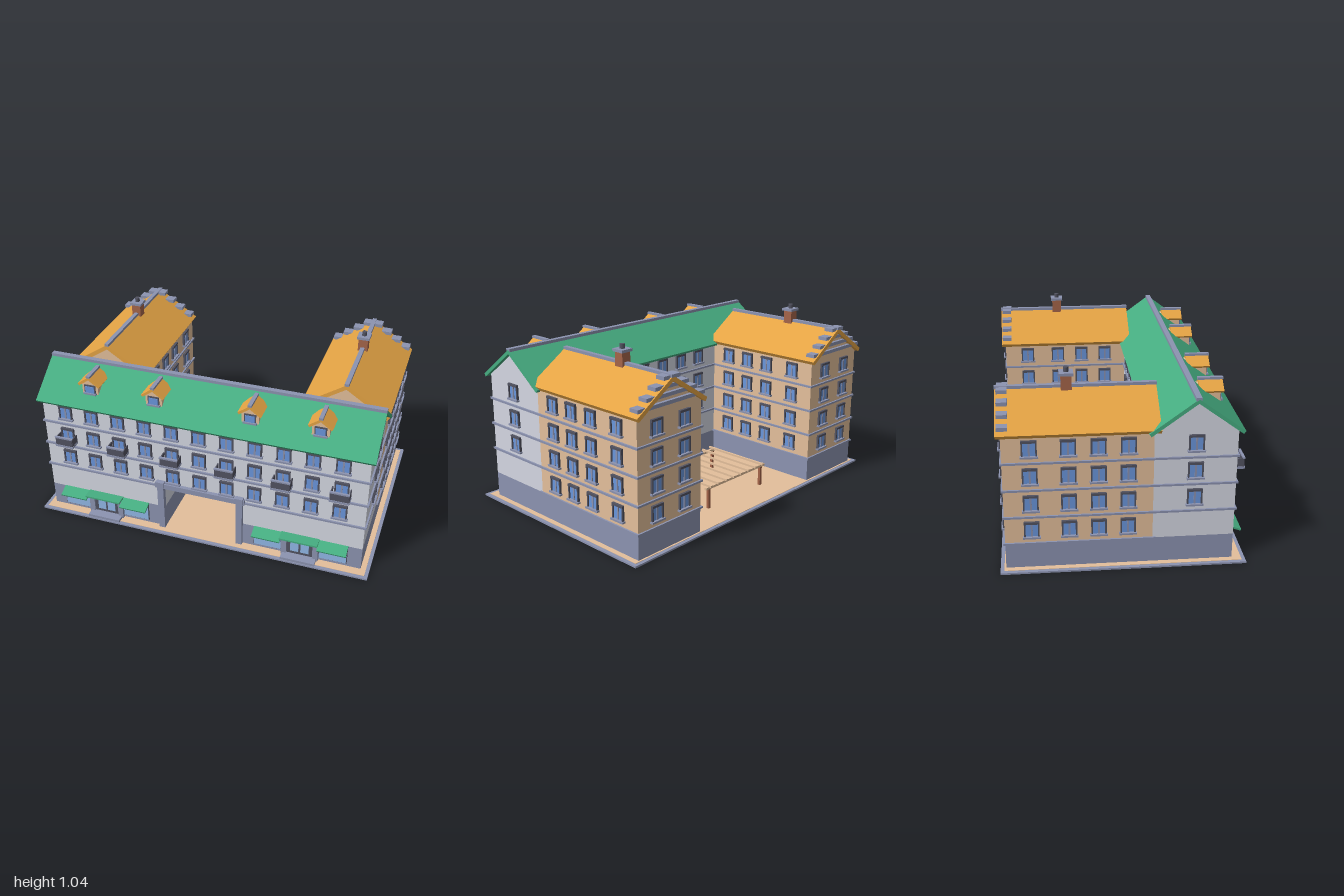
import * as THREE from 'three';
import { mergeGeometries } from 'three/addons/utils/BufferGeometryUtils.js';

const mat = (name, color) => new THREE.MeshStandardMaterial({ name, color });

export function createModel() {
  const M = {
    slate: mat('slate', 0x8c93b0), tan: mat('tanRender', 0xe3bf9b), grey: mat('lightGrey', 0xd4d7e2),
    green: mat('greenRoof', 0x46ad81), orange: mat('orangeRoof', 0xe4a344), brown: mat('brick', 0xa5654a),
    dark: mat('darkMetal', 0x525361), glass: mat('blueGlass', 0x6a96dc), shopGlass: mat('paleGlass', 0x92b8e8),
  };
  const root = new THREE.Group();
  root.name = 'courtyardBuilding';

  const add = (parent, name, geo, material) => {
    const m = new THREE.Mesh(geo, material);
    m.name = name;
    parent.add(m);
    return m;
  };
  // Box given by its extents on each axis
  const boxGeo = (x0, x1, y0, y1, z0, z1) =>
    new THREE.BoxGeometry(x1 - x0, y1 - y0, z1 - z0).translate((x0 + x1) / 2, (y0 + y1) / 2, (z0 + z1) / 2);
  const box = (p, name, material, ...e) => add(p, name, boxGeo(...e), material);
  const group = (name, parent = root) => {
    const g = new THREE.Group();
    g.name = name;
    parent.add(g);
    return g;
  };
  // Extruded outline, z from z0 to z1
  const extrude = (pts, z0, z1) =>
    new THREE.ExtrudeGeometry(new THREE.Shape(pts.map((p) => new THREE.Vector2(...p))),
      { depth: z1 - z0, bevelEnabled: false }).translate(0, 0, z0);
  // Walls with a gable top
  const gableWall = (h, y0, eave, apex, z0, z1) =>
    extrude([[-h, y0], [h, y0], [h, eave], [0, apex], [-h, eave]], z0, z1);
  // Two sloping roof slabs, eaves cut square to the slope
  const gableRoof = (h, top, slope, t, z0, z1) => {
    const e = top - slope * h, c = t / (1 + slope * slope), hi = h - c * slope;
    return extrude([[0, top], [-h, e], [-hi, e - c], [0, top - t], [hi, e - c], [h, e]], z0, z1);
  };

  // Window facing +z, origin at its centre on the wall
  const windowParts = [
    [M.dark, [[-0.04, -0.032, -0.043, 0.044, 0, 0.012], [0.032, 0.04, -0.043, 0.044, 0, 0.012],
      [-0.04, 0.04, 0.034, 0.047, 0, 0.014]]],
    [M.glass, [[-0.032, 0.032, -0.04, 0.034, 0, 0.005]]],
    [M.slate, [[-0.005, 0.005, -0.04, 0.034, 0, 0.009], [-0.046, 0.046, -0.048, -0.038, 0, 0.02]]],
  ];
  const windowGeo = mergeGeometries(
    windowParts.map(([, list]) => mergeGeometries(list.map((e) => boxGeo(...e)))), true);
  const windowMats = windowParts.map(([m]) => m);
  const windows = group('windows');
  const addWindow = (x, y, z, ry = 0) => {
    const w = add(windows, 'window', windowGeo, windowMats);
    w.position.set(x, y, z);
    w.rotation.y = ry;
  };
  const rows = [0.236, 0.389, 0.542, 0.695];
  const bands = [0.304, 0.458, 0.61];

  // Ground slab
  const ground = group('ground');
  box(ground, 'slab', M.slate, -1, 1, 0, 0.01, -0.65, 0.65);
  box(ground, 'paving', M.tan, -0.98, 0.98, 0.008, 0.012, -0.63, 0.63);

  // Front block, with a passage through the middle
  const front = group('frontBlock');
  const fz = 0.365;
  for (const s of [-1, 1]) {
    const [a, b] = s < 0 ? [-0.95, -0.22] : [0.22, 0.95];
    box(front, 'plinth', M.slate, a, b, 0.01, 0.155, 0.15, 0.58);
    box(front, 'groundFloor', M.grey, a, b, 0.155, 0.31, 0.15, 0.58);
  }
  const ridgeAlongX = (geo) => geo.rotateY(Math.PI / 2).translate(0, 0, fz);
  add(front, 'upperWalls', ridgeAlongX(gableWall(0.215, 0.31, 0.76, 0.918, -0.95, 0.95)), M.grey);
  add(front, 'frontRoof', ridgeAlongX(gableRoof(0.245, 0.94, 0.735, 0.024, -0.975, 0.975)), M.green);
  box(front, 'frontRidge', M.slate, -0.975, 0.975, 0.93, 0.947, fz - 0.015, fz + 0.015);
  for (const y of bands) box(front, 'stringCourse', M.slate, -0.96, 0.96, y, y + 0.011, 0.14, 0.59);

  // Passage surround
  const portal = group('passageSurround');
  for (const s of [-1, 1]) {
    const x = s * 0.238;
    box(portal, 'pillar', M.slate, x - 0.019, x + 0.019, 0.01, 0.31, 0.57, 0.6);
    box(portal, 'bracket', M.slate, x - 0.025, x + 0.025, 0.31, 0.346, 0.57, 0.608);
  }
  box(portal, 'lintel', M.slate, -0.27, 0.27, 0.304, 0.336, 0.57, 0.602);

  // Front windows, balconies and courtyard windows
  const balconies = group('balconies');
  for (let i = -5; i <= 5; i++) {
    const x = i * 0.1615;
    for (const y of rows.slice(1)) {
      addWindow(x, y, 0.58);
      if (Math.abs(i) < 3) addWindow(x, y, 0.15, Math.PI);
    }
    if (i % 2 === 0) continue;
    const b = group('balcony', balconies);
    b.position.set(x, 0, 0);
    box(b, 'balconySlab', M.slate, -0.055, 0.055, 0.492, 0.504, 0.58, 0.645);
    box(b, 'balconyFront', M.dark, -0.05, 0.05, 0.504, 0.548, 0.636, 0.642);
    box(b, 'handrail', M.slate, -0.054, 0.054, 0.548, 0.557, 0.632, 0.645);
    for (const s of [-1, 1]) {
      box(b, 'balconySide', M.dark, s * 0.05 - 0.003, s * 0.05 + 0.003, 0.504, 0.55, 0.58, 0.64);
    }
  }

  // Shopfronts
  for (const s of [-1, 1]) {
    const shop = group('shopfront');
    shop.position.x = s * 0.598;
    for (const t of [-1, 1]) {
      const x = t * 0.19;
      box(shop, 'shopFrame', M.dark, x - 0.082, x + 0.082, 0.031, 0.14, 0.58, 0.586);
      box(shop, 'shopWindow', M.shopGlass, x - 0.078, x + 0.078, 0.035, 0.136, 0.582, 0.59);
      const awning = box(shop, 'awning', M.green, -0.083, 0.083, -0.005, 0.005, 0, 0.07);
      awning.position.set(x, 0.152, 0.578);
      awning.rotation.x = 0.36;
      box(shop, 'doorPost', M.slate, t * 0.092 - 0.016, t * 0.092 + 0.016, 0.01, 0.15, 0.58, 0.6);
      box(shop, 'doorGlass', M.shopGlass, t * 0.03 - 0.024, t * 0.03 + 0.024, 0.045, 0.125, 0.585, 0.594);
    }
    box(shop, 'doorFrame', M.dark, -0.077, 0.077, 0.02, 0.14, 0.58, 0.59);
    box(shop, 'doorHead', M.slate, -0.108, 0.108, 0.138, 0.152, 0.58, 0.602);
    box(shop, 'doorCanopy', M.green, -0.11, 0.11, 0.152, 0.162, 0.58, 0.645);
    box(shop, 'doorStep', M.slate, -0.1, 0.1, 0.01, 0.026, 0.58, 0.645);
  }

  // Dormers
  for (const x of [-0.663, -0.278, 0.278, 0.663]) {
    const d = group('dormer');
    d.position.x = x;
    add(d, 'dormerWalls', gableWall(0.048, 0.8, 0.876, 0.914, 0.4, 0.53), M.tan);
    add(d, 'dormerRoof', gableRoof(0.068, 0.932, 0.72, 0.018, 0.415, 0.545), M.orange);
    box(d, 'dormerRidge', M.slate, -0.011, 0.011, 0.927, 0.94, 0.412, 0.548);
    box(d, 'dormerFrame', M.dark, -0.033, 0.033, 0.825, 0.876, 0.53, 0.536);
    box(d, 'dormerGlass', M.glass, -0.027, 0.027, 0.829, 0.868, 0.532, 0.54);
    box(d, 'dormerSill', M.slate, -0.038, 0.038, 0.818, 0.828, 0.53, 0.545);
  }

  // Rear wings
  for (const s of [-1, 1]) {
    const cx = s * 0.72;
    const wing = group(s > 0 ? 'leftWing' : 'rightWing');
    wing.position.x = cx;
    box(wing, 'wingPlinth', M.slate, -0.23, 0.23, 0.01, 0.155, -0.62, 0.15);
    add(wing, 'wingWalls', gableWall(0.23, 0.155, 0.765, 0.914, -0.62, 0.15), M.tan);
    add(wing, 'wingRoof', gableRoof(0.25, 0.94, 0.66, 0.028, -0.645, 0.185), M.orange);
    box(wing, 'wingRidge', M.slate, -0.0125, 0.0125, 0.932, 0.948, -0.648, 0.187);
    for (const y of [0.15, ...bands]) {
      box(wing, 'wingStringCourse', M.slate, -0.24, 0.24, y, y + 0.011, -0.63, 0.165);
    }
    // Stepped coping slabs across the rear gable
    for (let i = 0; i < 4; i++) {
      const h = 0.058 + i * 0.06, y = 0.934 - i * 0.0425;
      box(wing, 'copingSlab', M.slate, -h, h, y - 0.01, y + 0.01, -0.638, -0.582);
    }
    // Chimney
    const chimney = group('chimney', wing);
    chimney.position.z = -0.28;
    box(chimney, 'chimneyStack', M.brown, -0.028, 0.028, 0.9, 1.0, -0.028, 0.028);
    box(chimney, 'chimneyCap', M.slate, -0.037, 0.037, 1.0, 1.015, -0.037, 0.037);
    add(chimney, 'chimneyPot', new THREE.CylinderGeometry(0.014, 0.014, 0.027, 12).translate(0, 1.027, 0), M.dark);
    // Windows on both long sides and the rear gable
    for (const y of rows) {
      for (const z of [0.02, -0.132, -0.285, -0.48]) {
        for (const t of [-1, 1]) addWindow(cx + t * 0.23, y, z, t * Math.PI / 2);
      }
      for (const t of [-1, 1]) addWindow(cx + t * 0.1, y, -0.62, Math.PI);
    }
    for (const y of rows.slice(1)) addWindow(s * 0.95, y, fz, s * Math.PI / 2);
  }

  // Courtyard pergola
  const pergola = group('pergola');
  for (const z of [-0.452, -0.063]) {
    box(pergola, 'pergolaBeam', M.tan, -0.268, 0.262, 0.13, 0.144, z - 0.008, z + 0.008);
    for (const x of [-0.235, 0.235]) {
      box(pergola, 'pergolaPost', M.brown, x - 0.008, x + 0.008, 0.01, 0.13, z - 0.008, z + 0.008);
    }
  }
  for (let i = 0; i < 8; i++) {
    const x = -0.235 + i * 0.0671;
    box(pergola, 'pergolaSlat', M.tan, x - 0.006, x + 0.006, 0.144, 0.156, -0.475, -0.04);
  }
  return root;
}
